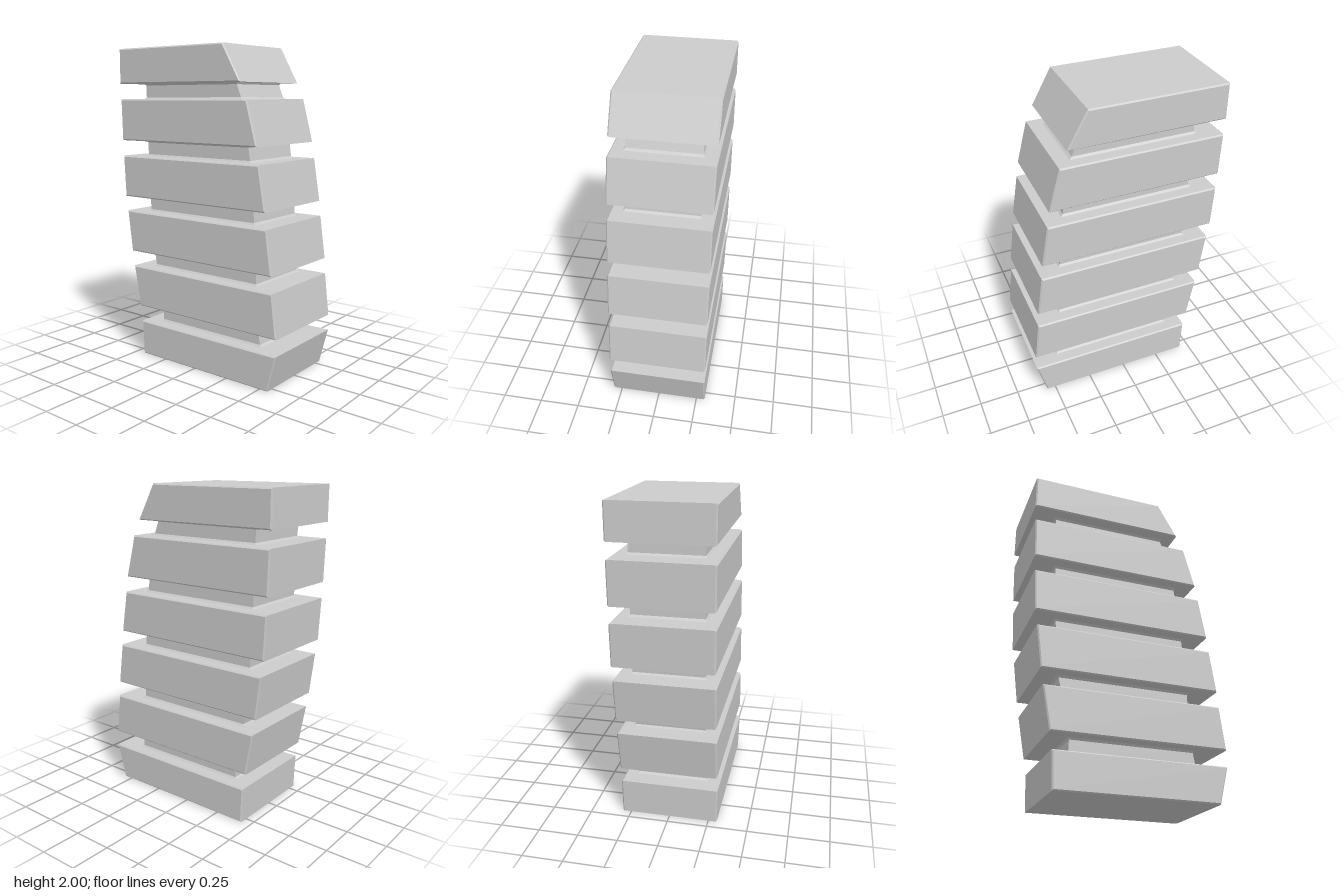
import * as THREE from 'three';

const HALF_WIDTH = 0.305;
const NECK_HALF_WIDTH = 0.22;
const BEVEL = 0.008;

// Slabs: bottom y, top y, front z at bottom and top, back z at bottom and top
const SLABS = [
  [0.0, 0.225, 0.557, 0.616, -0.44, -0.45],
  [0.325, 0.592, 0.616, 0.585, -0.467, -0.515],
  [0.69, 0.957, 0.579, 0.542, -0.532, -0.566],
  [1.052, 1.318, 0.532, 0.487, -0.581, -0.595],
  [1.418, 1.682, 0.471, 0.4, -0.6, -0.608],
  [1.78, 2.0, 0.354, 0.23, -0.614, -0.614],
];

// Necks: front z at bottom and top, back z at bottom and top
const NECKS = [
  [0.45, 0.432, -0.332, -0.332],
  [0.417, 0.414, -0.385, -0.406],
  [0.4, 0.392, -0.428, -0.436],
  [0.368, 0.353, -0.444, -0.45],
  [0.304, 0.265, -0.455, -0.458],
];

// Side profile extruded across the width with chamfered edges
function slabGeometry([y0, y1, frontLow, frontHigh, backLow, backHigh]) {
  const shape = new THREE.Shape([
    new THREE.Vector2(backLow, y0),
    new THREE.Vector2(frontLow, y0),
    new THREE.Vector2(frontHigh, y1),
    new THREE.Vector2(backHigh, y1),
  ]);
  const depth = 2 * (HALF_WIDTH - BEVEL);
  const geometry = new THREE.ExtrudeGeometry(shape, {
    depth,
    bevelEnabled: true,
    bevelSize: BEVEL,
    bevelThickness: BEVEL,
    bevelOffset: -BEVEL,
    bevelSegments: 1,
  });
  return geometry.translate(0, 0, -depth / 2).rotateY(-Math.PI / 2);
}

// Box narrowed to the neck outline, flaring where it meets the slabs
function neckGeometry(y0, y1, [frontLow, frontHigh, backLow, backHigh]) {
  const geometry = new THREE.BoxGeometry(2, 3, 2, 1, 3, 1);
  const position = geometry.attributes.position;
  const heights = [0, 0.12, 0.88, 1];
  for (let i = 0; i < position.count; i++) {
    const row = Math.round(position.getY(i) + 1.5);
    const t = heights[row];
    const flare = row === 0 || row === 3 ? 0.011 : 0;
    const z = position.getZ(i) > 0
      ? THREE.MathUtils.lerp(frontLow, frontHigh, t) + flare
      : THREE.MathUtils.lerp(backLow, backHigh, t) - flare;
    position.setXYZ(
      i,
      Math.sign(position.getX(i)) * (NECK_HALF_WIDTH + flare),
      THREE.MathUtils.lerp(y0, y1, t),
      z
    );
  }
  geometry.computeVertexNormals();
  return geometry;
}

export function createModel() {
  const model = new THREE.Group();
  model.name = 'slabTower';
  const material = new THREE.MeshStandardMaterial({ color: 0xcccccc, flatShading: true });

  const add = (name, geometry) => {
    const mesh = new THREE.Mesh(geometry, material);
    mesh.name = name;
    model.add(mesh);
  };

  SLABS.forEach((slab, i) => add(`slab${i + 1}`, slabGeometry(slab)));

  // Each neck spans the gap between two neighbouring slabs
  NECKS.forEach((neck, i) => add(`neck${i + 1}`, neckGeometry(SLABS[i][1], SLABS[i + 1][0], neck)));

  return model;
}
